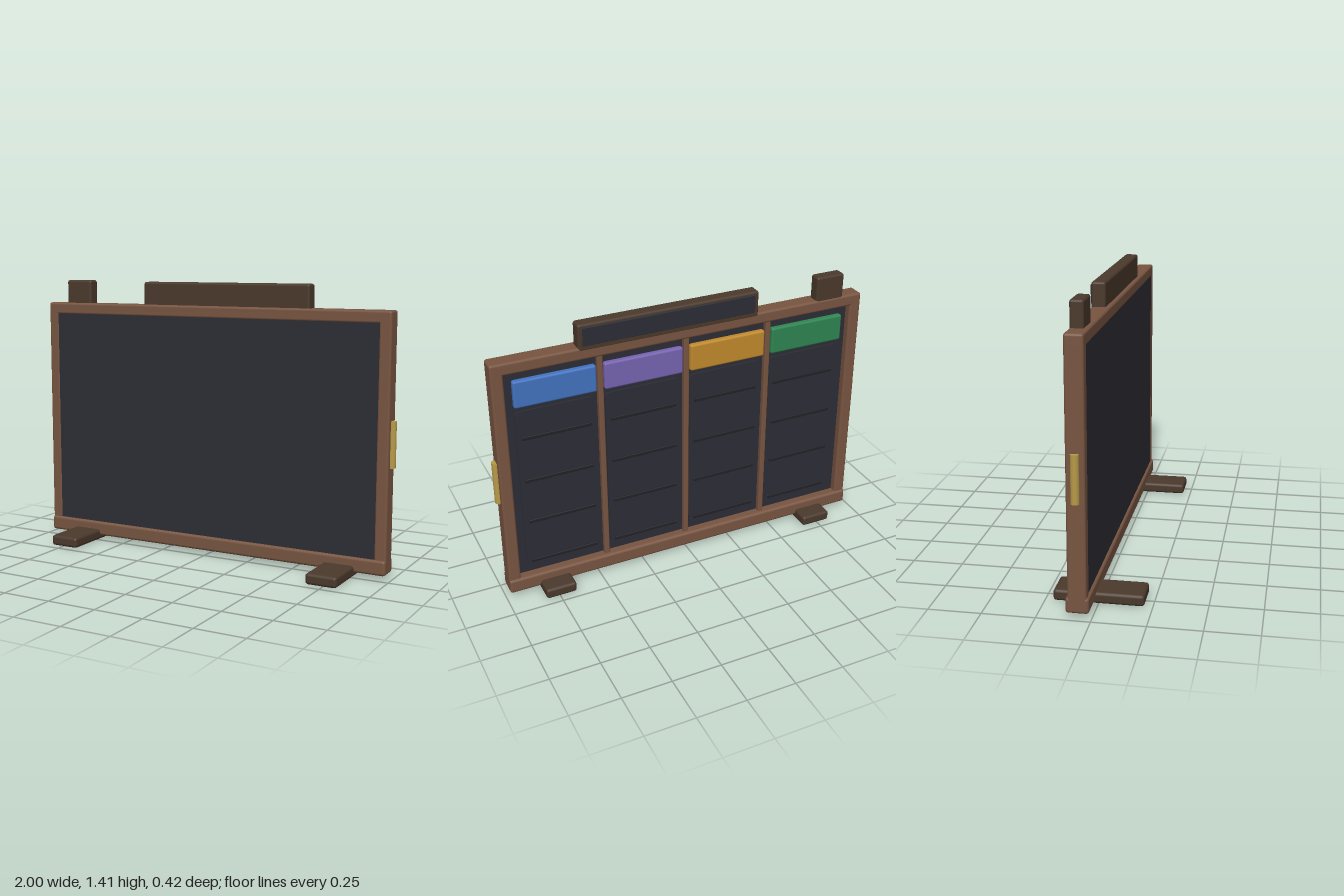
import * as THREE from 'three';
import { RoundedBoxGeometry } from 'three/addons/geometries/RoundedBoxGeometry.js';

const flat = (name, color) => {
  const m = new THREE.MeshStandardMaterial({ color });
  m.name = name;
  return m;
};

export function createModel() {
  const group = new THREE.Group();
  const wood = flat('wood', 0x785541);
  const darkWood = flat('darkWood', 0x4b392c);
  const board = flat('boardSurface', 0x2d2d36);
  const line = flat('shelfLine', 0x222228);
  const brass = flat('brass', 0xb89a48);
  const tabs = [
    flat('blue', 0x4273c0), flat('purple', 0x7663b0),
    flat('amber', 0xc0892c), flat('green', 0x2f8552),
  ];

  // Box given by its limits on each axis; r rounds the edges
  function box(name, mat, [x0, x1], [y0, y1], [z0, z1], r = 0) {
    const s = [x1 - x0, y1 - y0, z1 - z0];
    const geo = r ? new RoundedBoxGeometry(...s, 2, r) : new THREE.BoxGeometry(...s);
    const mesh = new THREE.Mesh(geo, mat);
    mesh.name = name;
    mesh.position.set((x0 + x1) / 2, (y0 + y1) / 2, (z0 + z1) / 2);
    group.add(mesh);
    return mesh;
  }

  // Frame and writing surface
  const depth = [-0.11, -0.022];
  box('topRail', wood, [-0.978, 0.978], [1.228, 1.29], depth, 0.012);
  box('bottomRail', wood, [-0.978, 0.978], [0.022, 0.098], [-0.12, -0.012], 0.014);
  box('writingBoard', board, [-0.93, 0.93], [0.06, 1.25], [-0.072, -0.025]);

  for (const s of [-1, 1]) {
    const span = (a, b) => (s > 0 ? [a, b] : [-b, -a]);
    box('sideRail', wood, span(0.916, 0.978), [0.04, 1.29], depth, 0.012);
    box('foot', darkWood, span(0.66, 0.82), [0, 0.055], [-0.212, 0.212], 0.015);
    // Rounded brass grip on the outer edge
    const grip = new THREE.Mesh(new THREE.CylinderGeometry(0.02, 0.02, 0.225, 12), brass);
    grip.name = 'sideGrip';
    grip.position.set(s * 0.98, 0.657, -0.066);
    group.add(grip);
  }

  // Blocks on the top edge
  box('topBlock', darkWood, [-0.87, -0.715], [1.27, 1.412], [-0.106, -0.042], 0.012);
  box('headerBar', darkWood, [-0.382, 0.556], [1.27, 1.407], [-0.111, -0.042], 0.012);
  box('headerPlate', board, [-0.36, 0.534], [1.3, 1.392], [-0.117, -0.109], 0.003);

  // Four columns on the back, from +x to -x
  tabs.forEach((mat, i) => {
    const x = 0.672 - i * 0.448;
    box('columnTab', mat, [x - 0.204, x + 0.204], [1.045, 1.185], [-0.104, -0.07], 0.011);
    // Thin panel with rounded corners
    const w = 0.2, y0 = 0.13, y1 = 1.015, r = 0.025;
    const shape = new THREE.Shape();
    shape.absarc(w - r, y0 + r, r, -Math.PI / 2, 0);
    shape.absarc(w - r, y1 - r, r, 0, Math.PI / 2);
    shape.absarc(-w + r, y1 - r, r, Math.PI / 2, Math.PI);
    shape.absarc(-w + r, y0 + r, r, Math.PI, Math.PI * 1.5);
    const panel = new THREE.Mesh(
      new THREE.ExtrudeGeometry(shape, { depth: 0.01, bevelEnabled: false, curveSegments: 4 }), board);
    panel.name = 'columnPanel';
    panel.position.set(x, 0, -0.081);
    group.add(panel);
    for (let k = 0; k < 4; k++) {
      const y = 0.165 + k * 0.235;
      box('shelfLine', line, [x - 0.175, x + 0.175], [y - 0.009, y + 0.009], [-0.089, -0.08], 0.003);
    }
    if (i < 3) {
      const d = x - 0.224;
      box('divider', wood, [d - 0.014, d + 0.014], [0.09, 1.235], [-0.1, -0.07], 0.006);
    }
  });
  return group;
}
